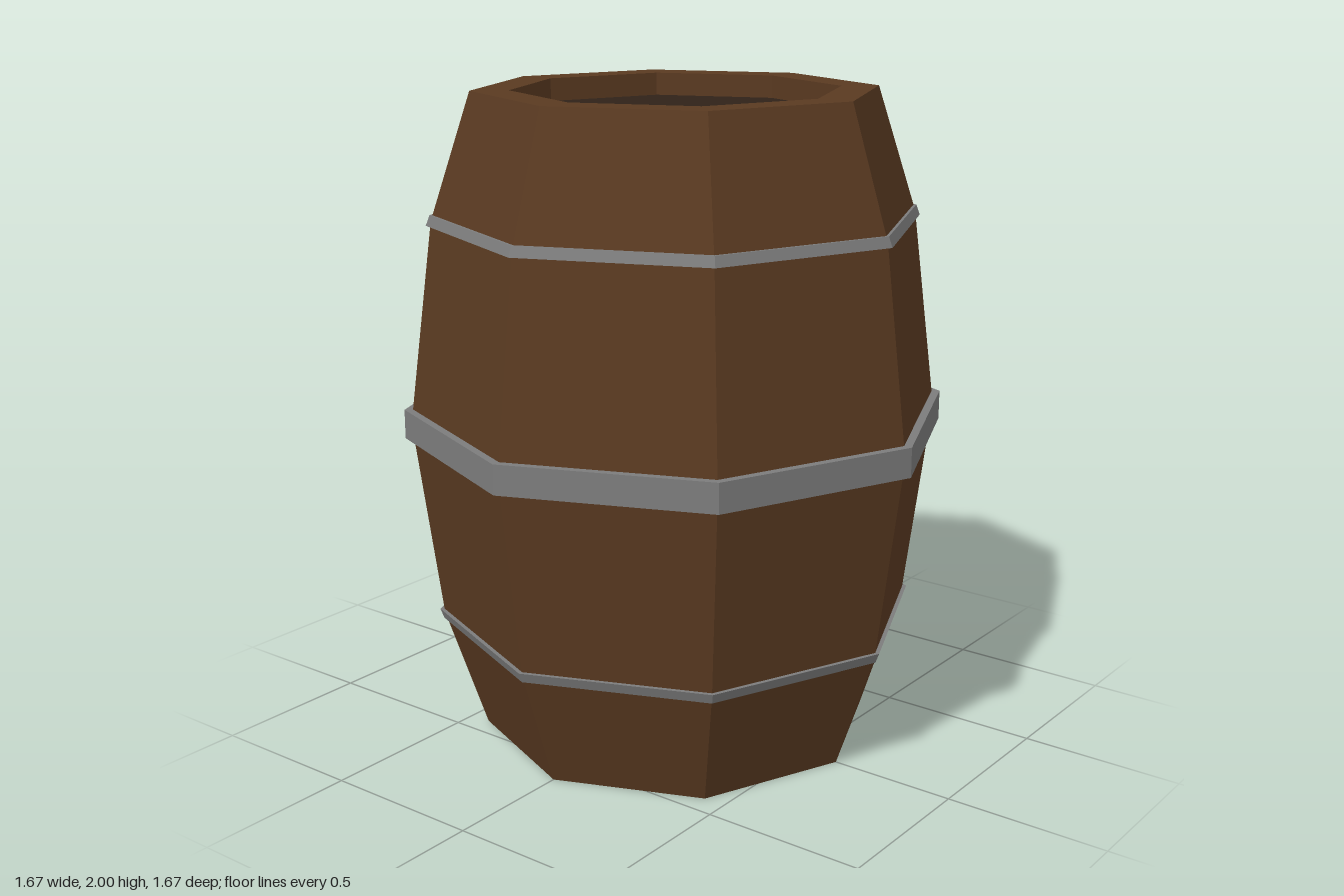
import * as THREE from 'three';

const SIDES = 8;

// Eight-sided ring or shell; the profile runs up the outside and down the inside
function turned(name, profile, color) {
  const points = profile.map(([r, y]) => new THREE.Vector2(r, y));
  const material = new THREE.MeshStandardMaterial({ color, flatShading: true });
  const mesh = new THREE.Mesh(new THREE.LatheGeometry(points, SIDES), material);
  mesh.name = name;
  return mesh;
}

export function createModel() {
  const barrel = new THREE.Group();
  barrel.name = 'barrel';
  const wood = 0x5a3a21, darkWood = 0x2f2218, iron = 0x7c7c7c;
  const recess = 0.07, innerR = 0.495;

  // Bulging staves with a rim and a shallow recess at each end
  barrel.add(turned('staves', [
    [innerR, recess], [innerR, 0], [0.61, 0], [0.735, 0.38], [0.815, 1],
    [0.735, 1.62], [0.61, 2], [innerR, 2], [innerR, 2 - recess],
  ], wood));

  // Sunken lids
  barrel.add(turned('bottomLid', [[0, recess], [innerR, recess]], darkWood));
  barrel.add(turned('topLid', [[innerR, 2 - recess], [0, 2 - recess]], darkWood));

  // Wide hoop round the middle
  barrel.add(turned('middleHoop', [
    [0.8, 0.955], [0.835, 0.955], [0.835, 1.045], [0.8, 1.045],
  ], iron));

  // Narrow hoops that lean with the staves
  barrel.add(turned('lowerHoop', [
    [0.71, 0.362], [0.738, 0.362], [0.75, 0.393], [0.72, 0.393],
  ], iron));
  barrel.add(turned('upperHoop', [
    [0.72, 1.607], [0.75, 1.607], [0.738, 1.638], [0.71, 1.638],
  ], iron));

  return barrel;
}
